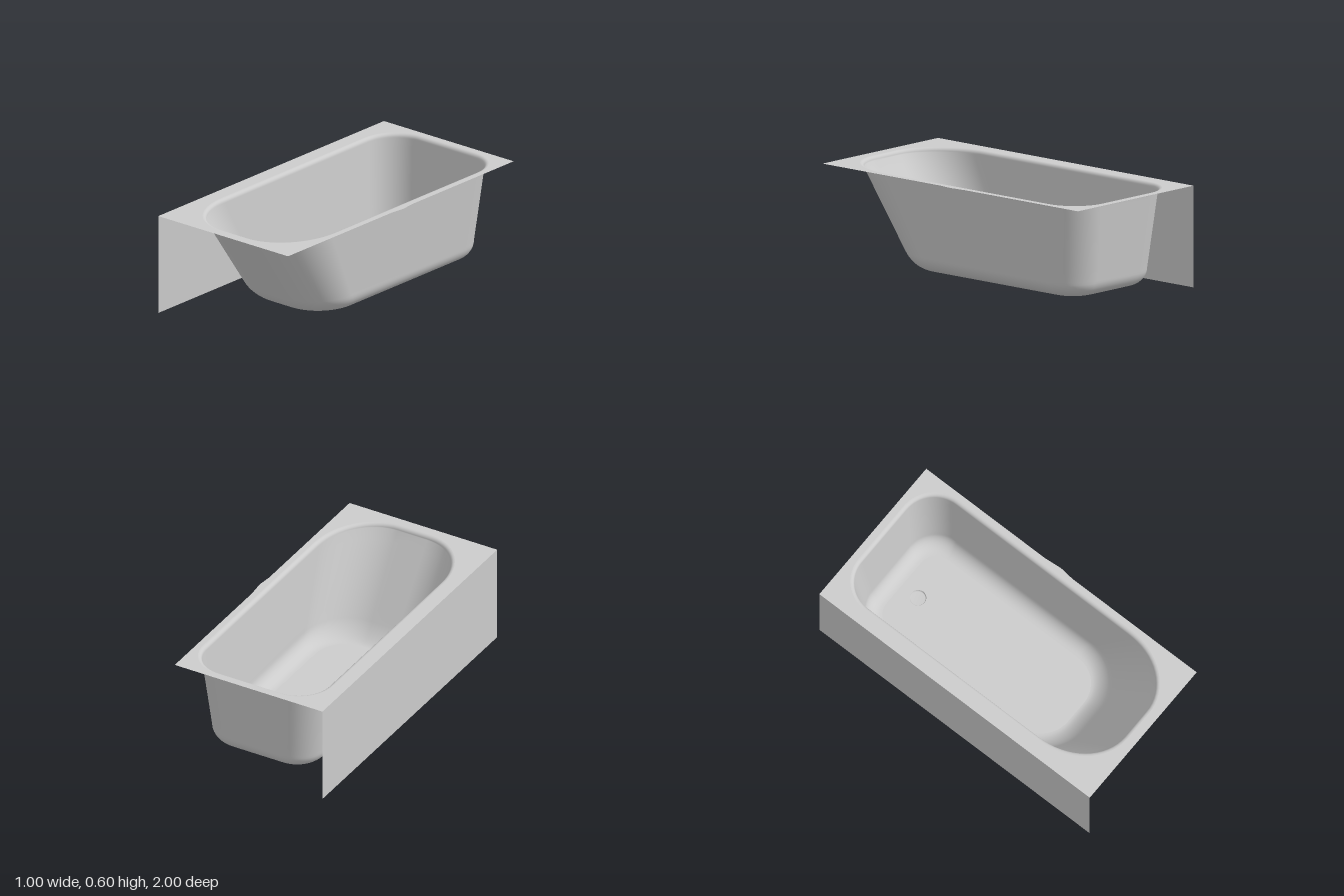
import * as THREE from 'three';

const CX = 0.02;      // the basin sits slightly off centre, away from the apron
const TOP = 0.6, FLOOR = 0.033;
const material = new THREE.MeshStandardMaterial({ color: 0xcccccc, side: THREE.DoubleSide });

function part(name, geometry) {
  const mesh = new THREE.Mesh(geometry, material);
  mesh.name = name;
  return mesh;
}

// Rounded outline in plan: half width, back and front ends, corner radii.
function outline({ hw, back, front, rb, rx, rz }) {
  const corners = [
    [1, 1, rx, rz], [-1, 1, rx, rz], [-1, -1, rb, rb], [1, -1, rb, rb],
  ];
  const points = [], steps = 16;
  corners.forEach(([sx, sz, ax, az], q) => {
    const cx = CX + sx * (hw - ax);
    const cz = sz > 0 ? front - az : back + az;
    for (let i = 0; i <= steps; i++) {
      const a = (q + i / steps) * Math.PI / 2;
      points.push(new THREE.Vector2(cx + ax * Math.cos(a), cz + az * Math.sin(a)));
    }
  });
  return points;
}

// Plan sections from the lip down to the floor.
function sections() {
  const list = [], lerp = THREE.MathUtils.lerp;
  const slope = y => 0.918 - (0.575 - y) * 0.7;   // reclining end
  // rolled lip
  for (let i = 0; i <= 6; i++) {
    const a = i / 6 * Math.PI / 2, out = 0.024 * (1 - Math.sin(a));
    list.push({ y: TOP - 0.025 * (1 - Math.cos(a)), hw: 0.408 + out, back: -0.935 - out,
      front: 0.918 + out, rb: 0.2 + out, rx: 0.31 + out, rz: 0.38 + out });
  }
  // tapering walls
  for (let i = 1; i <= 8; i++) {
    const t = i / 8, y = lerp(0.575, 0.13, t);
    list.push({ y, hw: lerp(0.408, 0.366, t), back: lerp(-0.935, -0.885, t), front: slope(y),
      rb: lerp(0.2, 0.19, t), rx: lerp(0.31, 0.28, t), rz: lerp(0.38, 0.29, t) });
  }
  // curve into the floor
  for (let i = 1; i <= 10; i++) {
    const a = i / 10 * Math.PI / 2, k = 1 - Math.cos(a), y = 0.13 - (0.13 - FLOOR) * Math.sin(a);
    list.push({ y, hw: 0.366 - 0.096 * k, back: -0.885 + 0.095 * k, front: slope(y) - 0.058 * k,
      rb: 0.19 - 0.08 * k, rx: 0.28 - 0.08 * k, rz: 0.29 - 0.09 * k });
  }
  return list;
}

// Skin the sections with a closed ring of faces, facing inward.
function loft(list) {
  const positions = [], index = [];
  let n = 0;
  for (const s of list) {
    const ring = outline(s);
    n = ring.length;
    for (const p of ring) positions.push(p.x, s.y, p.y);
  }
  for (let i = 0; i < list.length - 1; i++) {
    for (let j = 0; j < n; j++) {
      const a = i * n + j, b = i * n + (j + 1) % n;
      index.push(a, a + n, b, b, a + n, b + n);
    }
  }
  const g = new THREE.BufferGeometry();
  g.setAttribute('position', new THREE.Float32BufferAttribute(positions, 3));
  g.setIndex(index);
  g.computeVertexNormals();
  return g;
}

// Horizontal sheet with a hole, from plan points (x, z).
function sheet(points, hole, y) {
  const flip = list => list.map(p => new THREE.Vector2(p.x, -p.y));
  const shape = new THREE.Shape(flip(points));
  shape.holes.push(new THREE.Path(flip(hole)));
  return new THREE.ShapeGeometry(shape).rotateX(-Math.PI / 2).translate(0, y, 0);
}

export function createModel() {
  const group = new THREE.Group();
  group.name = 'bathtub';
  const list = sections();

  // basin walls
  group.add(part('basin', loft(list)));

  // flat rim, with a very slight bulge on the wall side
  const rimEdge = [[-0.5, -1], [0.487, -1], [0.487, -0.12], [0.497, -0.01], [0.487, 0.08], [0.487, 1], [-0.5, 1]]
    .map(([x, z]) => new THREE.Vector2(x, z));
  group.add(part('rim', sheet(rimEdge, outline(list[0]), TOP)));

  // floor with drain opening
  const drainR = 0.048, drainZ = -0.67, sides = 32;
  const drainHole = Array.from({ length: sides }, (_, i) => {
    const a = i / sides * Math.PI * 2;
    return new THREE.Vector2(drainR * Math.cos(a), drainZ + drainR * Math.sin(a));
  });
  group.add(part('floor', sheet(outline(list[list.length - 1]), drainHole, FLOOR)));

  // recessed drain cup
  const cup = [[0, 0.022], [0.042, 0.022], [0.046, 0.025], [drainR, FLOOR]]
    .map(([r, y]) => new THREE.Vector2(r, y));
  group.add(part('drain', new THREE.LatheGeometry(cup, sides).translate(0, 0, drainZ)));

  // side apron down to the ground
  group.add(part('apron', new THREE.PlaneGeometry(2, TOP).rotateY(-Math.PI / 2).translate(-0.5, TOP / 2, 0)));

  return group;
}
